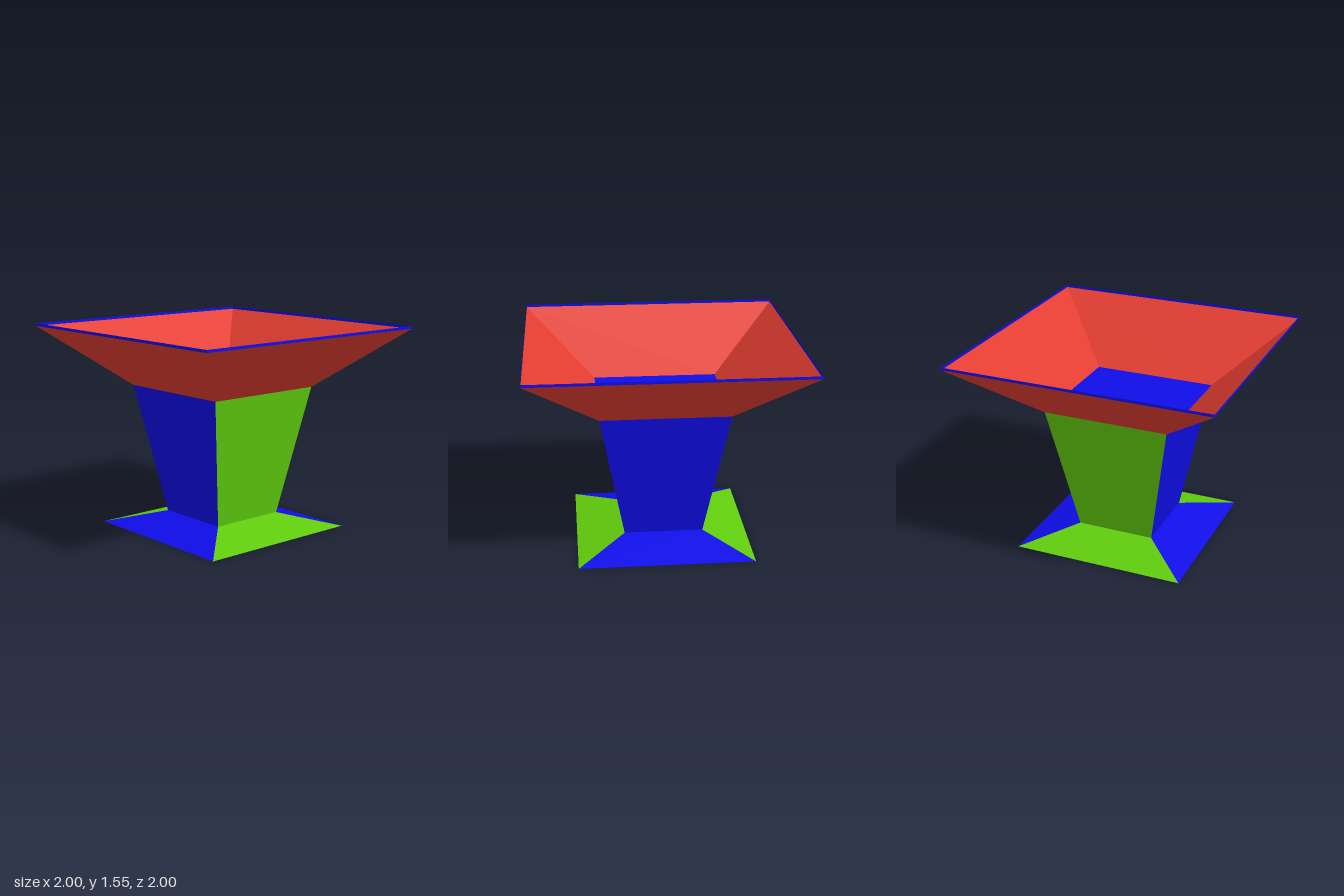
import * as THREE from 'three';

const paint = (color) => new THREE.MeshStandardMaterial({ color, flatShading: true, side: THREE.DoubleSide });

// One trapezoid panel facing +z: half-width r0 at height y0, r1 at height y1
function panel(r0, y0, r1, y1) {
  const geo = new THREE.BufferGeometry();
  geo.setAttribute('position', new THREE.Float32BufferAttribute(
    [-r0, y0, r0, r0, y0, r0, r1, y1, r1, -r1, y1, r1], 3));
  geo.setIndex([0, 1, 2, 0, 2, 3]);
  geo.computeVertexNormals();
  return geo;
}

// Four panels around the y axis; front/back and left/right may differ in colour
function squareTier(name, r0, y0, r1, y1, frontMat, sideMat) {
  const group = new THREE.Group();
  group.name = name;
  ['Front', 'Left', 'Back', 'Right'].forEach((side, i) => {
    const mesh = new THREE.Mesh(panel(r0, y0, r1, y1), i % 2 ? sideMat : frontMat);
    mesh.name = name + side;
    mesh.rotation.y = i * Math.PI / 2;
    group.add(mesh);
  });
  return group;
}

// Horizontal square plate facing up or down
function plate(name, half, y, up, mat) {
  const mesh = new THREE.Mesh(new THREE.PlaneGeometry(2 * half, 2 * half), mat);
  mesh.name = name;
  mesh.rotation.x = up ? -Math.PI / 2 : Math.PI / 2;
  mesh.position.y = y;
  return mesh;
}

export function createModel() {
  const blue = paint(0x0f0de8), green = paint(0x60cc0c), red = paint(0xe43d31);
  const model = new THREE.Group();
  model.name = 'squarePlanter';
  model.add(
    // Flared foot and tapered column
    plate('footUnderside', 0.655, 0, false, blue),
    squareTier('foot', 0.655, 0, 0.297, 0.1, blue, green),
    squareTier('column', 0.297, 0.1, 0.478, 1.085, blue, green),
    // Open flared bowl with its floor and thin rim
    plate('bowlFloor', 0.478, 1.085, true, blue),
    squareTier('bowl', 0.478, 1.085, 1, 1.53, red, red),
    squareTier('rim', 1, 1.53, 1, 1.55, blue, blue),
  );
  return model;
}
